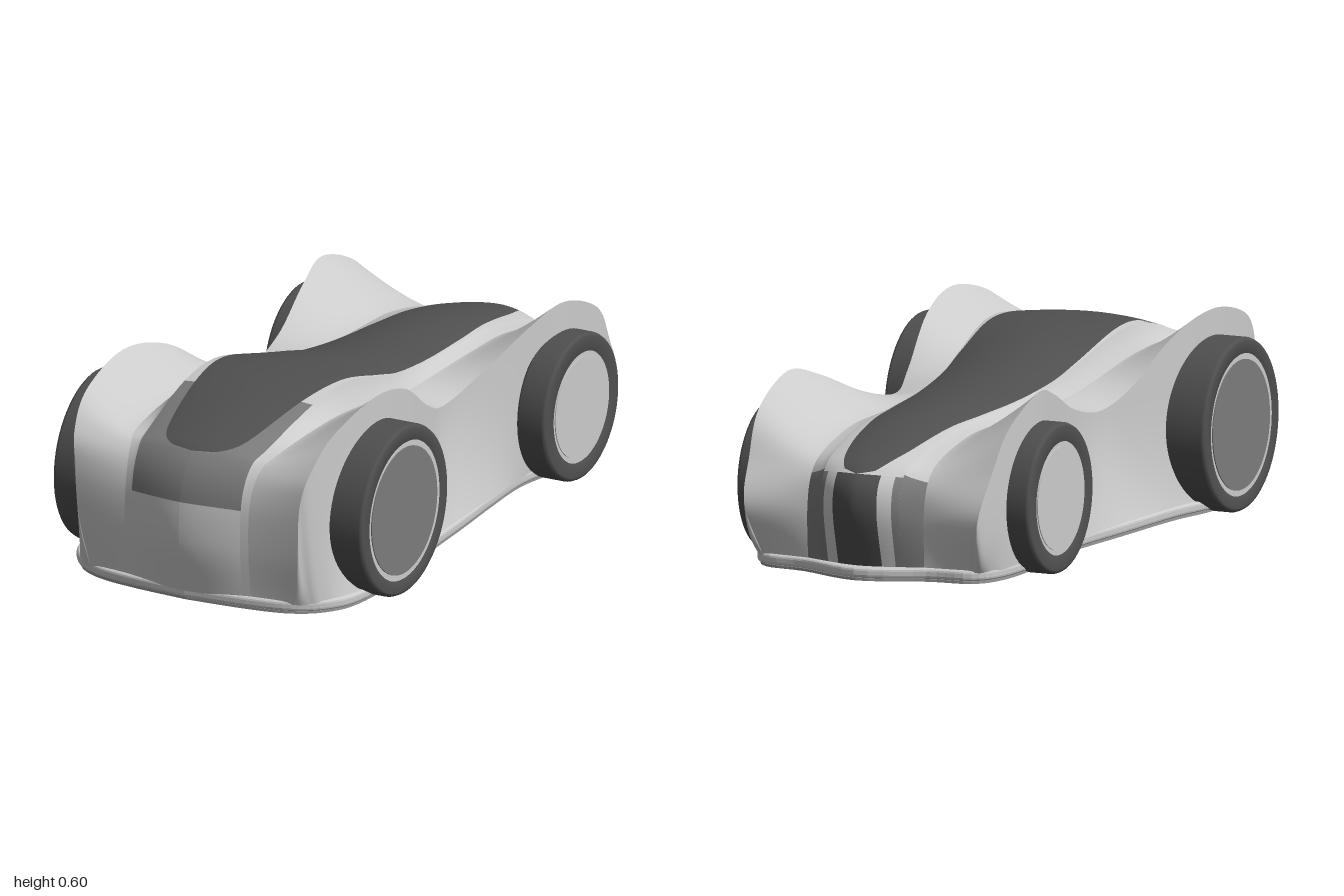
import * as THREE from 'three';
import { ParametricGeometry } from 'three/addons/geometries/ParametricGeometry.js';

const mat = (color) => new THREE.MeshStandardMaterial({ color, side: THREE.DoubleSide });
const pale = mat(0xcccccc), dark = mat(0x505050), medium = mat(0x7c7c7c), floorGrey = mat(0x999999);

// Lengthwise ribs of the left half: each runs from the nose lip, over the top, to the tail lip
const rib = (points) => new THREE.CatmullRomCurve3(
  points.map((p) => new THREE.Vector3(...p)), false, 'catmullrom', 0.5);
const LAST = 15;
const centre = rib([
  [0, .04, .965], [0, .2, .997], [0, .36, .985], [0, .455, .93], [0, .495, .84], [0, .555, .6],
  [0, .568, .38], [0, .53, .15], [0, .49, 0], [0, .457, -.2], [0, .445, -.42], [0, .43, -.6],
  [0, .39, -.8], [0, .335, -.955], [0, .23, -1], [0, .04, -.95]]);
const canopyEdge = rib([
  [.185, .04, .943], [.185, .2, .957], [.185, .35, .947], [.19, .44, .9], [.2, .472, .82], [.217, .54, .58],
  [.219, .552, .38], [.197, .495, .15], [.18, .457, 0], [.165, .432, -.2], [.155, .42, -.42], [.148, .408, -.6],
  [.14, .37, -.79], [.13, .325, -.91], [.13, .22, -.95], [.13, .04, -.92]]);
const valley = rib([
  [.21, .04, .938], [.21, .2, .952], [.21, .34, .943], [.22, .43, .9], [.24, .465, .82], [.255, .488, .58],
  [.25, .475, .37], [.23, .43, .15], [.212, .405, 0], [.2, .4, -.2], [.195, .4, -.42], [.193, .395, -.6],
  [.19, .355, -.79], [.19, .3, -.875], [.19, .2, -.905], [.19, .04, -.9]]);
const fenderPeak = rib([
  [.345, .04, .918], [.37, .2, .942], [.38, .36, .945], [.4, .46, .915], [.418, .55, .81], [.427, .6, .58],
  [.405, .555, .36], [.365, .43, .15], [.335, .382, 0], [.345, .42, -.2], [.385, .505, -.42], [.41, .539, -.58],
  [.408, .46, -.78], [.395, .33, -.875], [.38, .2, -.938], [.345, .04, -.882]]);
const sill = rib([
  [.345, .04, .918], [.365, .04, .908], [.385, .04, .892], [.41, .04, .865], [.45, .04, .78], [.472, .04, .58],
  [.437, .04, .36], [.418, .04, .15], [.408, .04, 0], [.39, .04, -.2], [.378, .04, -.42], [.41, .04, -.58],
  [.402, .04, -.77], [.38, .04, -.84], [.362, .04, -.87], [.345, .04, -.882]]);

// Skin between two ribs, with separate easing of x, y and z across it
const between = (ribA, ribB, ex, ey, ez) => (t, s, out) => {
  const a = ribA.getPoint(t / LAST), b = ribB.getPoint(t / LAST);
  out.set(a.x + (b.x - a.x) * s ** ex(t), a.y + (b.y - a.y) * s ** ey, a.z + (b.z - a.z) * s ** ez);
};
const linear = () => 1;
// Body side: upright with a low flare by the wheels, sloping scoop at the waist
const flare = (t) => 4.5 - 2.7 * Math.exp(-(((t - 8.2) / 1.8) ** 2));
const deck = between(centre, canopyEdge, linear, 2, 1.6);
const flank = between(canopyEdge, valley, linear, .8, 1);
const fender = between(valley, fenderPeak, linear, 1.25, 1);
const side = between(fenderPeak, sill, flare, 1, 1.5);

function mirrored(name, ...meshes) {
  const group = new THREE.Group();
  group.name = name;
  for (const mesh of meshes) {
    const copy = mesh.clone();
    copy.scale.x = -1;
    copy.position.x *= -1;
    group.add(mesh, copy);
  }
  return group;
}

// Patch of a skin from station t0 to t1, between crosswise limits lo(t) and hi(t);
// t0 may itself vary across the patch by the amount of dip
function patch(name, material, skin, t0, t1, lo = () => 0, hi = () => 1, across = 12) {
  const geometry = new ParametricGeometry((u, v, out) => {
    const t = t0 + (t1 - t0) * v, a = lo(t), b = hi(t);
    skin(t, a + (b - a) * u, out);
  }, across, Math.max(10, Math.ceil((t1 - t0) * 8)));
  geometry.computeVertexNormals();
  const mesh = new THREE.Mesh(geometry, material);
  mesh.name = name;
  return mirrored(name, mesh);
}

// Flat underside plate with a rounded outline
function plate(name, material, top, depth, bevel) {
  const half = [[.2, .94], [.33, .912], [.415, .85], [.462, .74], [.465, .5], [.427, .3], [.4, 0],
    [.38, -.2], [.368, -.4], [.4, -.6], [.39, -.79], [.335, -.882], [.2, -.905]];
  const outline = [[0, .955], ...half, [0, -.975], ...half.map(([x, z]) => [-x, z]).reverse()];
  const curve = new THREE.SplineCurve([...outline, outline[0]].map((p) => new THREE.Vector2(...p)));
  const geometry = new THREE.ExtrudeGeometry(new THREE.Shape(curve.getPoints(140).slice(0, -1)), {
    depth, bevelEnabled: bevel > 0, bevelSize: bevel, bevelThickness: bevel, bevelSegments: 3 });
  geometry.rotateX(Math.PI / 2).translate(0, top, 0);
  const mesh = new THREE.Mesh(geometry, material);
  mesh.name = name;
  return mesh;
}

// Wheel pair: rounded tyre, rim ring and hub disc, facing outward
function wheels(name, radius, rimRadius, discRadius, inner, outer, z, discMaterial) {
  const w = (outer - inner) / 2, c = .012;
  const place = (part, geometry, material) => {
    const mesh = new THREE.Mesh(geometry.rotateZ(-Math.PI / 2), material);
    mesh.name = part;
    mesh.position.set((inner + outer) / 2, radius, z);
    return mesh;
  };
  const profile = [[0, -w], [radius - c, -w], [radius - c * .3, -w + c * .3], [radius, -w + c],
    [radius, w - c], [radius - c * .3, w - c * .3], [radius - c, w], [rimRadius, w], [rimRadius, w - .012], [0, w - .012]];
  const tyre = new THREE.LatheGeometry(profile.map((p) => new THREE.Vector2(...p)), 64);
  const rim = new THREE.CylinderGeometry(rimRadius, rimRadius, .01, 64).translate(0, w - .01, 0);
  const disc = new THREE.CylinderGeometry(discRadius, discRadius, .01, 64).translate(0, w - .007, 0);
  return mirrored(name, place('tyre', tyre, dark), place('rim', rim, pale), place('hub', disc, discMaterial));
}

export function createModel() {
  const car = new THREE.Group();
  car.name = 'car';

  // Canopy narrows to a rounded tip at the front and a point at the back
  const c0 = 3.15, c1 = 13.1, hoodStart = 1.75, hoodEnd = 5, tail = 13;
  const canopyWidth = (t) => .002 + .99 * Math.max(0, Math.sin(Math.PI * (t - c0) / (c1 - c0))) ** .3;
  const at = (s) => () => s;

  car.add(
    // Middle of the body
    patch('nose', pale, deck, 0, hoodStart),
    patch('hood', medium, deck, hoodStart, c0),
    patch('canopy', dark, deck, c0, c1, at(0), canopyWidth, 16),
    patch('hoodSide', medium, deck, c0, hoodEnd, canopyWidth, at(1), 5),
    patch('canopySurround', pale, deck, hoodEnd, c1, canopyWidth, at(1), 5),
    patch('tailPanel', dark, deck, c1, LAST, at(0), at(.55)),
    patch('tailStripe', pale, deck, c1, LAST, at(.55), at(.85), 4),
    patch('tailCorner', medium, deck, c1, LAST, at(.85), at(1), 4),
    // Raised trim and fenders
    patch('trim', pale, flank, 0, tail, at(0), at(1), 6),
    patch('tailFlank', medium, flank, tail, LAST, at(0), at(1), 6),
    patch('fender', pale, fender, 0, LAST, at(0), at(1), 14),
    patch('bodySide', pale, side, 0, LAST, at(0), at(1), 20),
    // Underside
    plate('lip', pale, .04, .012, .01),
    plate('floor', floorGrey, .017, .008, 0),
    // Wheels
    wheels('frontWheels', .26, .213, .195, .38, .525, .57, medium),
    wheels('rearWheels', .225, .17, .155, .38, .478, -.567, pale));
  return car;
}
